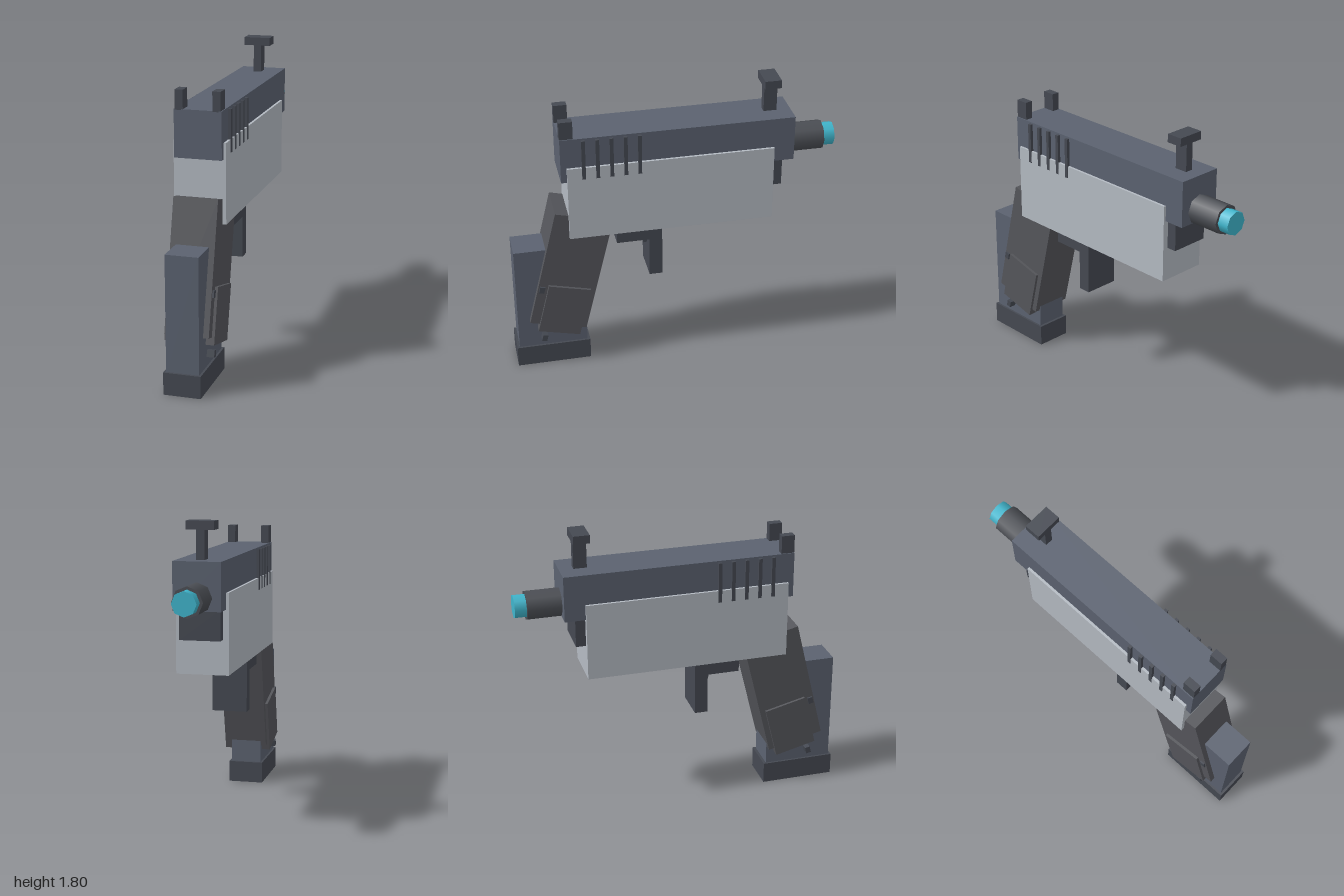
import * as THREE from 'three';

const mat = (color) => new THREE.MeshStandardMaterial({ color });

export function createModel() {
  const model = new THREE.Group();
  const steel = mat(0x5b6270), dark = mat(0x454952), light = mat(0xb4bac2);
  const rubber = mat(0x55565b), barrelGrey = mat(0x4b4e54), teal = mat(0x3fb5cc);

  const add = (name, geometry, material, x, y, z, tilt = 0) => {
    const mesh = new THREE.Mesh(geometry, material);
    mesh.name = name;
    mesh.position.set(x, y, z);
    mesh.rotation.x = tilt;
    model.add(mesh);
    return mesh;
  };
  // Upright block, given by its width and its y and z ranges
  const block = (name, material, width, y0, y1, z0, z1, x = 0) =>
    add(name, new THREE.BoxGeometry(width, y1 - y0, z1 - z0), material, x, (y0 + y1) / 2, (z0 + z1) / 2);
  // Block leaning about the x axis
  const leaning = (name, material, w, h, d, y, z, tilt) =>
    add(name, new THREE.BoxGeometry(w, h, d), material, 0, y, z, tilt);
  // Round part running along z
  const round = (name, material, radius, y, z0, z1) =>
    add(name, new THREE.CylinderGeometry(radius, radius, z1 - z0, 8), material, 0, y, (z0 + z1) / 2, -Math.PI / 2);

  // Upper body
  block('slide', steel, 0.28, 1.305, 1.585, -0.725, 0.68);
  block('frame', light, 0.31, 0.925, 1.4, -0.6, 0.645);
  block('underBarrelBlock', dark, 0.24, 1.13, 1.31, -0.66, -0.59);

  // Grip ridges on both sides of the slide
  for (let i = 0; i < 5; i++) {
    const z = 0.214 + i * 0.083;
    for (const side of [-1, 1]) block('slideRidge', dark, 0.03, 1.325, 1.575, z - 0.011, z + 0.011, side * 0.143);
  }

  // Barrel and muzzle
  round('barrel', barrelGrey, 0.09, 1.38, -0.93, -0.7);
  round('muzzleTip', teal, 0.072, 1.38, -1, -0.9);

  // Sights
  for (const side of [-1, 1]) block('rearSight', dark, 0.048, 1.58, 1.695, 0.6, 0.68, side * 0.11);
  block('frontSightPost', dark, 0.048, 1.58, 1.755, -0.64, -0.56);
  block('frontSightBar', dark, 0.165, 1.755, 1.805, -0.648, -0.549);

  // Trigger and its guard
  block('guardBar', dark, 0.22, 0.83, 0.905, 0.075, 0.355);
  block('guardFront', dark, 0.22, 0.575, 0.905, 0.075, 0.155);
  leaning('trigger', dark, 0.08, 0.17, 0.055, 0.855, 0.165, 0.16);

  // Leaning grip with its raised panel and pins
  const lean = -0.241;
  leaning('grip', rubber, 0.264, 0.784, 0.358, 0.67, 0.645, lean);
  leaning('gripPanel', rubber, 0.298, 0.333, 0.264, 0.405, 0.697, lean);
  leaning('gripPin', dark, 0.286, 0.042, 0.032, 0.57, 0.828, lean);
  leaning('gripPin', dark, 0.286, 0.042, 0.032, 0.21, 0.827, lean);

  // Magazine
  block('magazine', steel, 0.196, 0.1, 0.83, 0.557, 0.985);
  block('magazineBase', dark, 0.222, 0, 0.135, 0.54, 1);

  return model;
}
